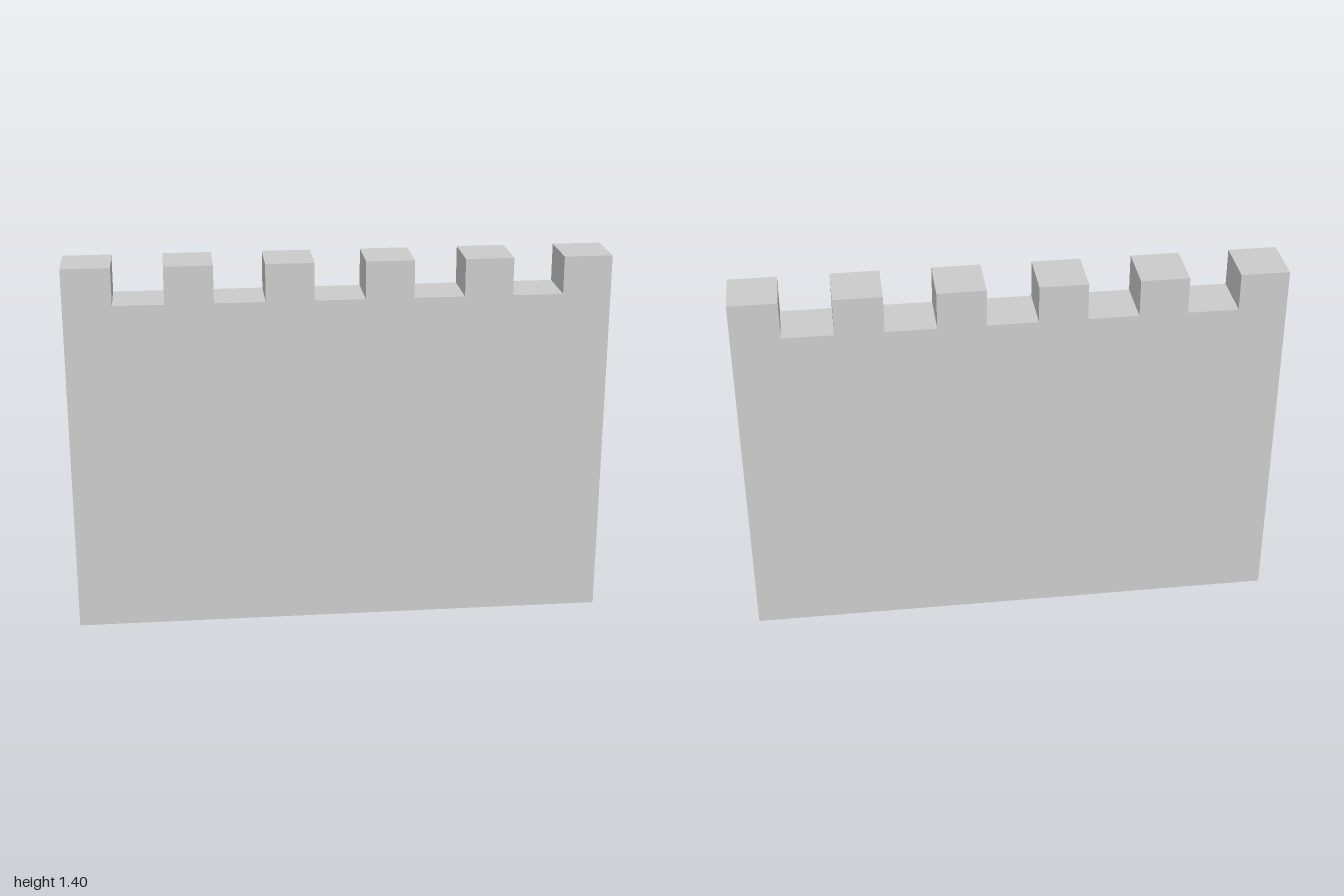
import * as THREE from 'three';

const WIDTH = 2, HEIGHT = 1.4, DEPTH = 0.2;
const NOTCH_FLOOR = 1.26, MERLONS = 6, MERLON_WIDTH = 0.178;

export function createModel() {
  const group = new THREE.Group();
  group.name = 'battlementWall';

  // Wall outline, with the merlons stepped along the top from right to left
  const pitch = (WIDTH - MERLON_WIDTH) / (MERLONS - 1);
  const outline = new THREE.Shape();
  outline.moveTo(-WIDTH / 2, 0);
  outline.lineTo(WIDTH / 2, 0);
  for (let i = MERLONS - 1; i >= 0; i--) {
    const left = -WIDTH / 2 + i * pitch;
    const right = left + MERLON_WIDTH;
    if (i < MERLONS - 1) outline.lineTo(right, NOTCH_FLOOR);
    outline.lineTo(right, HEIGHT);
    outline.lineTo(left, HEIGHT);
    if (i > 0) outline.lineTo(left, NOTCH_FLOOR);
  }
  outline.closePath();

  // Solid wall, centred on its thickness
  const geometry = new THREE.ExtrudeGeometry(outline, { depth: DEPTH, bevelEnabled: false });
  geometry.translate(0, 0, -DEPTH / 2);
  const wall = new THREE.Mesh(
    geometry,
    new THREE.MeshStandardMaterial({ color: 0xcccccc, flatShading: true })
  );
  wall.name = 'crenellatedWall';
  group.add(wall);
  return group;
}
